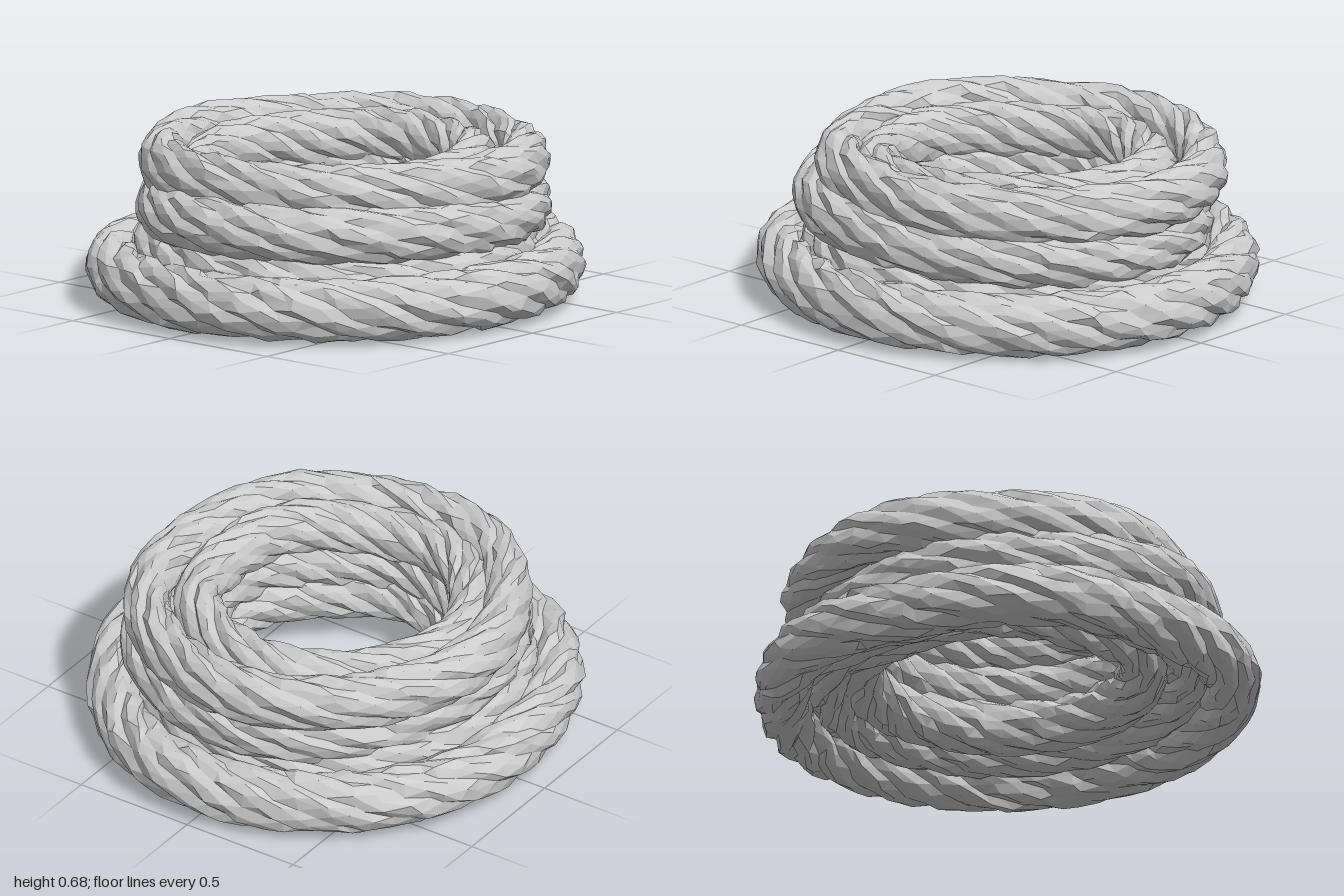
import * as THREE from 'three';

const STRANDS = 6;
const PROFILE = [0.86, 1.0, 1.0]; // groove, then the two shoulders of a strand
const SIDES = STRANDS * PROFILE.length;

function seeded(seed) {
  let s = seed;
  return () => {
    s = (s * 16807) % 2147483647;
    return s / 2147483647;
  };
}

// One closed turn of twisted rope, pressed to w wide and h high (half sizes);
// the strands wind round the section as it goes.
function ropeGeometry({ cx, cz, rx, rz, y, tiltX = 0, tiltZ = 0, w, h, twists, seed }) {
  const rand = seeded(seed);
  const segments = Math.round(rx * 92);
  const positions = [];
  const index = [];
  for (let i = 0; i < segments; i++) {
    const t0 = (i / segments) * Math.PI * 2;
    for (let j = 0; j < SIDES; j++) {
      const t = t0 + (rand() - 0.5) * 0.06;
      const a = (j / SIDES) * Math.PI * 2 + twists * t0 + (rand() - 0.5) * 0.12;
      const swell = PROFILE[j % PROFILE.length] + (rand() - 0.5) * 0.12;
      const wobble = 0.008 * Math.sin(5 * t + seed);
      const out = w * swell * Math.cos(a) + wobble;
      const c = Math.cos(t), s = Math.sin(t);
      positions.push(
        cx + (rx + out) * c,
        y + tiltX * c + tiltZ * s + h * swell * Math.sin(a) + wobble * 0.5,
        cz + (rz + out) * s
      );
      const k = (j + 1) % SIDES, n = (i + 1) % segments;
      const p = i * SIDES + j, q = i * SIDES + k;
      const u = n * SIDES + j, v = n * SIDES + k;
      index.push(p, q, u, q, v, u);
    }
  }
  const g = new THREE.BufferGeometry();
  g.setAttribute('position', new THREE.Float32BufferAttribute(positions, 3));
  g.setIndex(index);
  g.computeVertexNormals();
  return g;
}

export function createModel() {
  const group = new THREE.Group();
  group.name = 'ropeCoil';
  const material = new THREE.MeshStandardMaterial({ color: 0xcccccc, flatShading: true });

  // Turns of the coil, from the ground up; tilts raise the +x or +z side
  const turns = [
    { name: 'bottomOuterTurn', cx: 0, cz: -0.005, rx: 0.885, rz: 0.842, y: 0.14, w: 0.112, h: 0.125, twists: 4 },
    { name: 'lowerMiddleTurn', cx: -0.01, cz: 0, rx: 0.715, rz: 0.68, y: 0.205, tiltX: -0.01, w: 0.1, h: 0.115, twists: 3 },
    { name: 'lowerInnerTurn', cx: 0.01, cz: -0.02, rx: 0.565, rz: 0.535, y: 0.215, tiltX: 0.01, w: 0.1, h: 0.11, twists: 3 },
    { name: 'middleInnerTurn', cx: 0.01, cz: -0.02, rx: 0.57, rz: 0.54, y: 0.365, tiltX: 0.02, w: 0.095, h: 0.11, twists: 3 },
    { name: 'middleOuterTurn', cx: -0.005, cz: 0.025, rx: 0.75, rz: 0.685, y: 0.38, tiltX: -0.03, tiltZ: 0.01, w: 0.097, h: 0.112, twists: 3 },
    { name: 'upperInnerTurn', cx: 0.01, cz: -0.03, rx: 0.555, rz: 0.525, y: 0.52, tiltX: 0.015, tiltZ: 0.01, w: 0.095, h: 0.11, twists: 3 },
    { name: 'topTurn', cx: 0.06, cz: -0.025, rx: 0.72, rz: 0.695, y: 0.545, tiltX: -0.01, w: 0.095, h: 0.118, twists: 3 },
  ];
  turns.forEach((turn, i) => {
    const mesh = new THREE.Mesh(ropeGeometry({ ...turn, seed: 101 + i * 37 }), material);
    mesh.name = turn.name;
    group.add(mesh);
  });
  return group;
}
